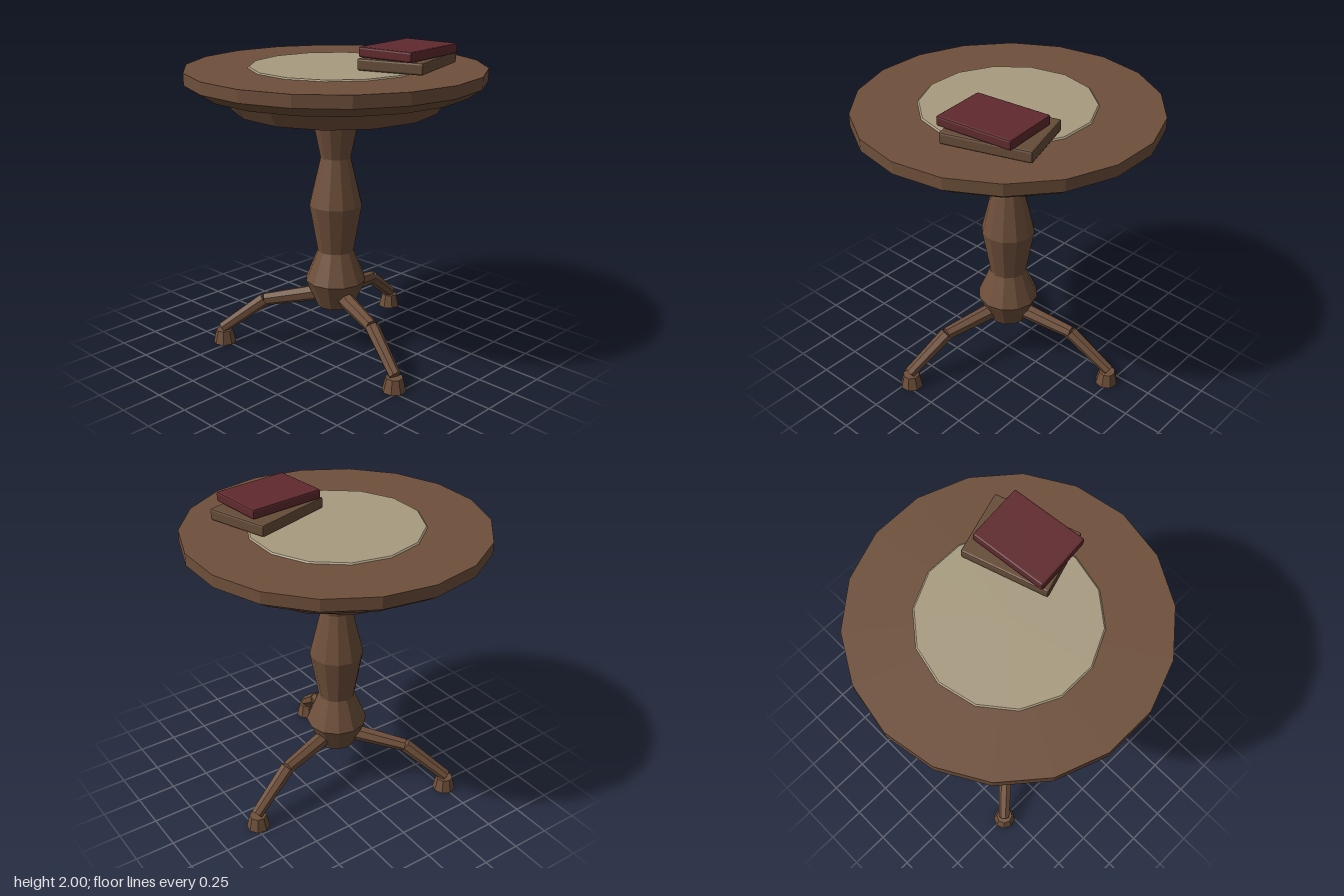
import * as THREE from 'three';
import { RoundedBoxGeometry } from 'three/addons/geometries/RoundedBoxGeometry.js';

const flat = (name, color) => {
  const m = new THREE.MeshStandardMaterial({ color });
  m.name = name;
  m.flatShading = true;
  return m;
};

export function createModel() {
  const group = new THREE.Group();
  const wood = flat('wood', 0x6e4f3a);
  const cloth = flat('cloth', 0xa89c80);
  const redCover = flat('redCover', 0x602a2e);
  const brownCover = flat('brownCover', 0x664c38);

  const add = (name, geometry, material, parent = group) => {
    const mesh = new THREE.Mesh(geometry, material);
    mesh.name = name;
    parent.add(mesh);
    return mesh;
  };
  // Faceted turned part from [radius, y] pairs listed bottom to top, with a corner on +x
  const turned = (name, profile, sides, material) => add(name,
    new THREE.LatheGeometry(profile.map(([r, y]) => new THREE.Vector2(r, y)), sides, Math.PI / 2), material);

  // Table top with chamfered underside, apron and round cloth
  turned('tableTop', [[0, 1.72], [0.84, 1.72], [0.93, 1.78], [0.93, 1.855], [0, 1.855]], 18, wood);
  turned('apron', [[0, 1.6], [0.64, 1.6], [0.72, 1.722], [0, 1.722]], 14, wood);
  turned('cloth', [[0.54, 1.854], [0.53, 1.863], [0, 1.863]], 14, cloth);

  // Turned column
  turned('column', [[0, 0.285], [0.12, 0.285], [0.198, 0.465], [0.118, 0.665],
    [0.172, 0.975], [0.098, 1.285], [0.162, 1.602]], 12, wood);

  // Three bent legs, each modelled along +x
  const bar = (name, a, b, r0, r1, parent) => {
    const dir = new THREE.Vector3().subVectors(b, a);
    const mesh = add(name, new THREE.CylinderGeometry(r1, r0, dir.length(), 7), wood, parent);
    mesh.position.addVectors(a, b).multiplyScalar(0.5);
    mesh.quaternion.setFromUnitVectors(new THREE.Vector3(0, 1, 0), dir.normalize());
  };
  const hip = new THREE.Vector3(0.08, 0.37, 0);
  const knee = new THREE.Vector3(0.47, 0.308, 0);
  const ankle = new THREE.Vector3(0.752, 0.1, 0);
  for (let i = 0; i < 3; i++) {
    const leg = new THREE.Group();
    leg.name = 'leg' + (i + 1);
    bar('upperLeg', hip, knee, 0.055, 0.042, leg);
    bar('lowerLeg', knee, ankle, 0.046, 0.038, leg);
    add('foot', new THREE.CylinderGeometry(0.054, 0.075, 0.088, 8), wood, leg).position.set(0.743, 0.044, 0);
    leg.rotation.y = -THREE.MathUtils.degToRad(17.2 + 120 * i);
    group.add(leg);
  }

  // Two stacked books
  const book = (name, size, position, degrees, material) => {
    const mesh = add(name, new RoundedBoxGeometry(...size, 1, 0.012), material);
    mesh.position.set(...position);
    mesh.rotation.y = THREE.MathUtils.degToRad(degrees);
  };
  book('lowerBook', [0.42, 0.072, 0.553], [0.355, 1.9, -0.26], 17.6, brownCover);
  book('upperBook', [0.378, 0.062, 0.502], [0.383, 1.969, -0.232], 5.8, redCover);

  return group;
}
